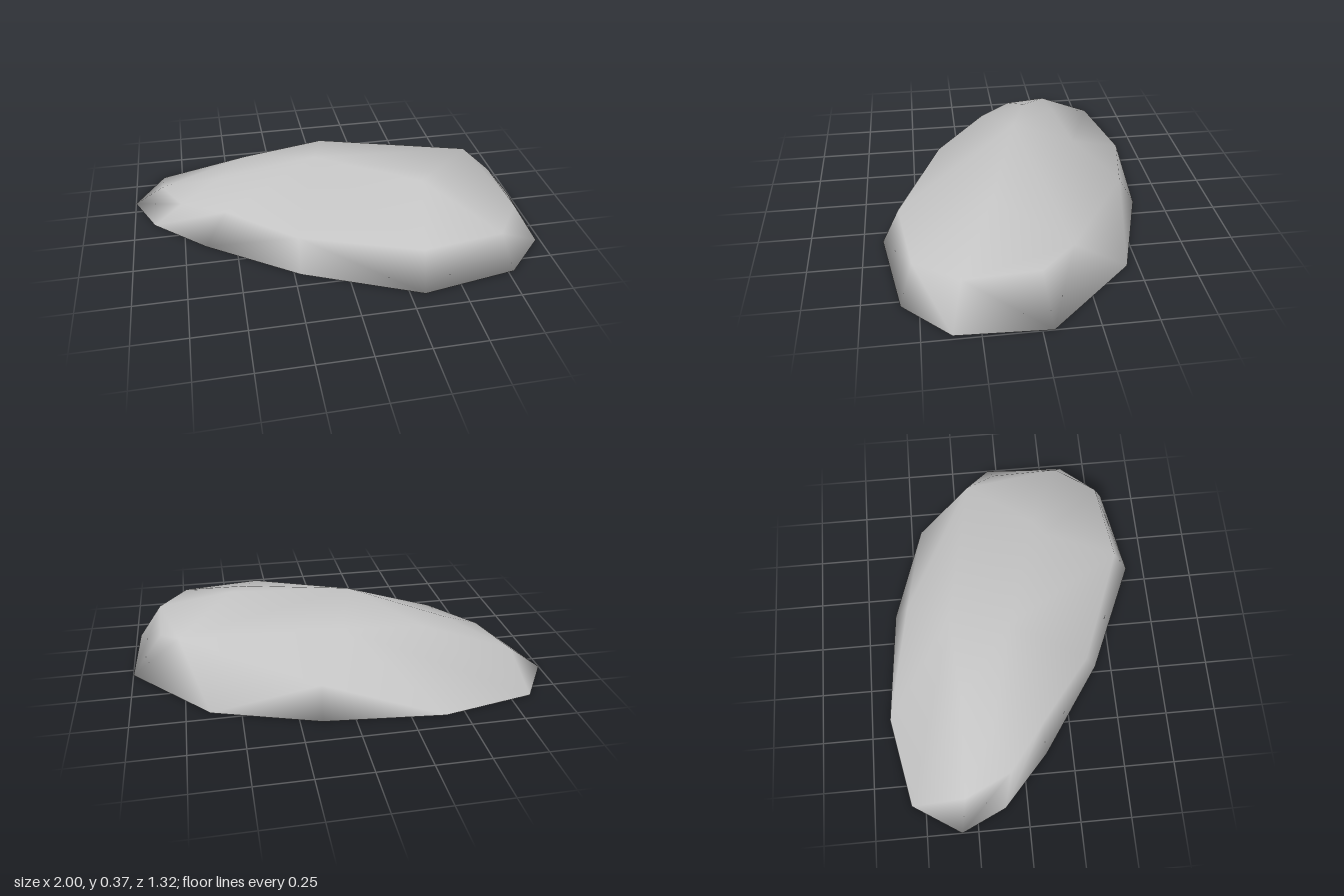
import * as THREE from 'three';
import { ConvexGeometry } from 'three/addons/geometries/ConvexGeometry.js';
import { mergeVertices } from 'three/addons/utils/BufferGeometryUtils.js';

// Footprint of the boulder, [x, z] at ground level
const foot = [
  [1, -0.05], [0.98, 0.37], [0.78, 0.58], [0.32, 0.66], [-0.22, 0.42], [-0.65, 0.12],
  [-0.9, -0.11], [-1, -0.33], [-0.85, -0.57], [-0.41, -0.66], [0.15, -0.61], [0.64, -0.45],
];
// Shoulder points, [x, y, z]
const shoulder = [
  [0.85, 0.195, -0.02], [0.86, 0.19, 0.32], [0.72, 0.185, 0.52], [0.33, 0.185, 0.575],
  [-0.22, 0.17, 0.36], [-0.54, 0.18, 0.1], [-0.75, 0.14, -0.07], [-0.85, 0.105, -0.3],
  [0.14, 0.14, -0.53],
];
// Crown points
const crown = [
  [0.49, 0.32, 0.15], [0.41, 0.32, 0.21], [-0.08, 0.37, -0.02], [-0.55, 0.23, -0.14],
  [-0.4, 0.26, -0.28], [0, 0.297, -0.31], [0.76, 0.245, -0.17],
];

// Closed convex skin through the points, with normals shared across every edge
function smoothHull(points) {
  const hull = new ConvexGeometry(points);
  hull.deleteAttribute('normal');
  const smooth = mergeVertices(hull);
  smooth.computeVertexNormals();
  return smooth;
}

export function createModel() {
  const stone = new THREE.MeshStandardMaterial({ color: 0xc4c4c4 });
  stone.name = 'stoneGrey';

  const points = [
    ...foot.map(([x, z]) => new THREE.Vector3(x, 0, z)),
    ...[...shoulder, ...crown].map((p) => new THREE.Vector3(...p)),
  ];
  const boulder = new THREE.Mesh(smoothHull(points), stone);
  boulder.name = 'boulder';

  const group = new THREE.Group();
  group.name = 'rock';
  group.add(boulder);
  return group;
}
